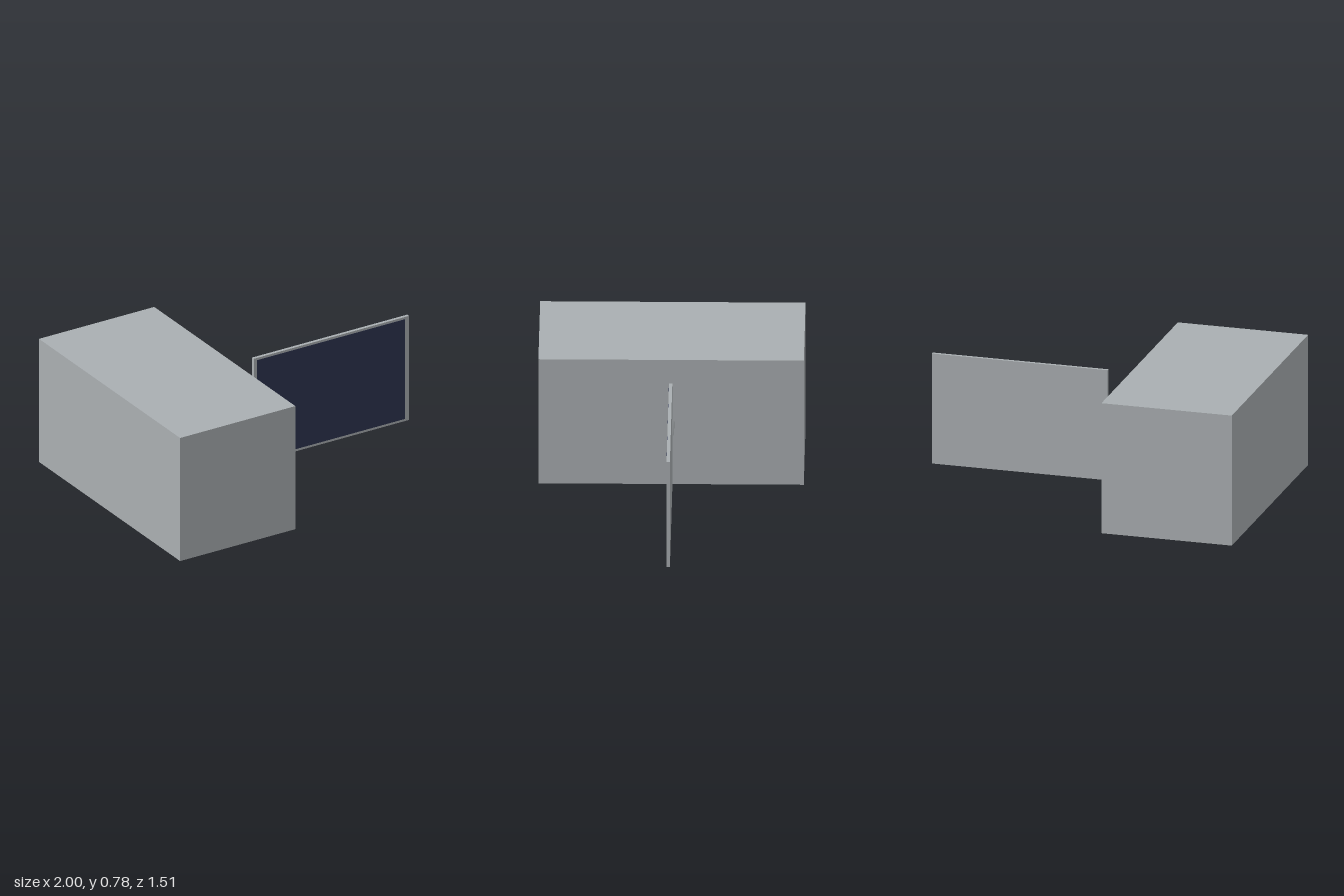
import * as THREE from 'three';

export function createModel() {
  const model = new THREE.Group();
  const grey = new THREE.MeshStandardMaterial({ name: 'bodyGrey', color: 0xaaafb2 });
  const navy = new THREE.MeshStandardMaterial({ name: 'cellNavy', color: 0x2d3450 });
  const midY = 0.389;

  function add(name, geometry, material, x, z = 0) {
    const mesh = new THREE.Mesh(geometry, material);
    mesh.name = name;
    mesh.position.set(x, midY, z);
    model.add(mesh);
    return mesh;
  }

  // Main box body, standing on the ground
  add('body', new THREE.BoxGeometry(0.772, 2 * midY, 1.506), grey, -0.614);

  // Round arm joining the body to the panel
  const arm = new THREE.CylinderGeometry(0.019, 0.019, 0.19, 12).rotateZ(Math.PI / 2);
  add('arm', arm, grey, -0.135);

  // Thin panel with a dark cell sheet on its front face
  add('panelFrame', new THREE.BoxGeometry(1.04, 0.658, 0.019), grey, 0.48);
  add('panelCells', new THREE.BoxGeometry(0.99, 0.63, 0.002), navy, 0.477, 0.0095);

  return model;
}
